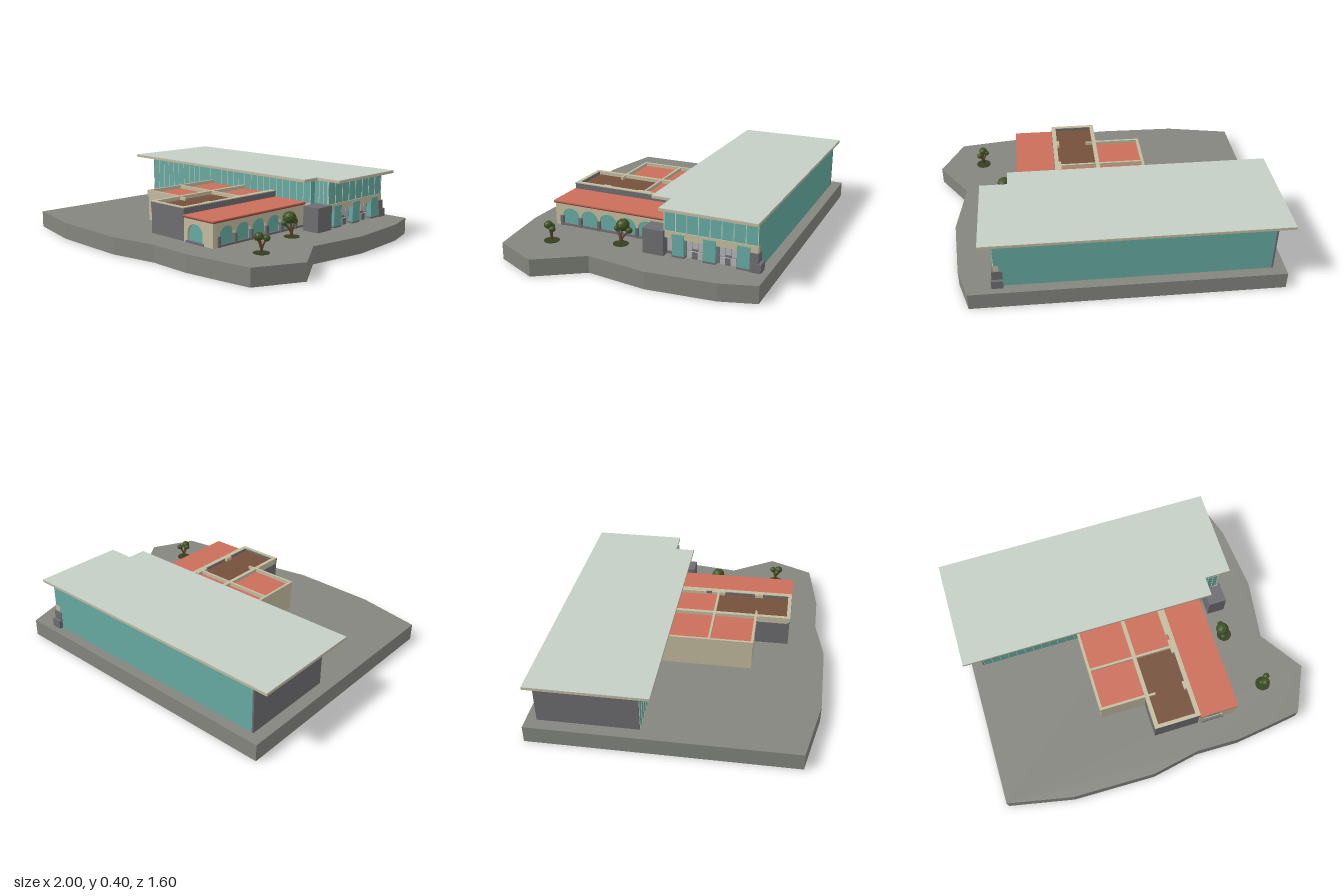
import * as THREE from 'three';

const mat = (color) => new THREE.MeshStandardMaterial({ color, flatShading: true });
const M = {
  ground: mat(0x84867e), teal: mat(0x66aba2), grey: mat(0x6e6e72), light: mat(0xb4b4b6), cream: mat(0xc4bc9f),
  pale: mat(0xc5cfc5), red: mat(0xcb6e5a), brown: mat(0x75503a), maroon: mat(0x8a4034),
  leaf: mat(0x3f5222), trunk: mat(0x5f4228), grass: mat(0x33401f),
};
const G = 0.1; // ground level

function add(parent, name, geometry, material) {
  const mesh = new THREE.Mesh(geometry, material);
  mesh.name = name;
  parent.add(mesh);
  return mesh;
}

// Box given by its limits on each axis
function box(parent, name, material, x0, x1, y0, y1, z0, z1) {
  const geo = new THREE.BoxGeometry(x1 - x0, y1 - y0, z1 - z0);
  geo.translate((x0 + x1) / 2, (y0 + y1) / 2, (z0 + z1) / 2);
  return add(parent, name, geo, material);
}

// Upright prism over an outline of [x, z] corners
function prism(parent, name, material, outline, y0, y1) {
  const shape = new THREE.Shape(outline.map(([x, z]) => new THREE.Vector2(x, -z)));
  const geo = new THREE.ExtrudeGeometry(shape, { depth: y1 - y0, bevelEnabled: false });
  geo.rotateX(-Math.PI / 2).translate(0, y0, 0);
  return add(parent, name, geo, material);
}

// Wall in the xy plane with round-headed openings
function archWall(x0, x1, y0, y1, centres, width, depth) {
  const wall = new THREE.Shape([[x0, y0], [x1, y0], [x1, y1], [x0, y1]].map((p) => new THREE.Vector2(...p)));
  const r = width / 2;
  for (const c of centres) {
    const hole = new THREE.Path();
    hole.moveTo(c - r, 0.11);
    hole.lineTo(c - r, 0.155);
    hole.absellipse(c, 0.155, r, 0.055, Math.PI, 0, true);
    hole.lineTo(c + r, 0.11);
    hole.closePath();
    wall.holes.push(hole);
  }
  return new THREE.ExtrudeGeometry(wall, { depth, bevelEnabled: false, curveSegments: 12 });
}

function buildHall() {
  const hall = new THREE.Group();
  hall.name = 'hall';
  prism(hall, 'hallWalls', M.teal,
    [[-0.9, -0.74], [0.61, -0.74], [0.61, -0.205], [0.535, -0.205], [0.535, -0.17], [-0.9, -0.17]], G, 0.38);
  box(hall, 'leftEndWall', M.grey, -0.91, -0.9, G, 0.38, -0.74, -0.17);
  box(hall, 'upperGlazing', M.teal, 0.6, 0.635, 0.245, 0.38, -0.74, -0.205);
  box(hall, 'band', M.cream, 0.6, 0.64, 0.205, 0.245, -0.74, -0.2);
  box(hall, 'entryWall', M.light, 0.49, 0.536, G, 0.24, -0.175, -0.165);
  box(hall, 'entryBand', M.cream, 0.26, 0.536, 0.235, 0.245, -0.175, -0.165);

  // Mullions on the front and on the right end
  for (let i = 0; i <= 27; i++) {
    const x = -0.9 + i * 0.053;
    box(hall, 'frontMullion', M.pale, x - 0.002, x + 0.002, G, 0.38, -0.172, -0.167);
  }
  for (const x of [0.57, 0.602, 0.633]) box(hall, 'returnMullion', M.pale, x - 0.002, x + 0.002, G, 0.38, -0.208, -0.202);
  for (let i = 0; i <= 8; i++) {
    const z = -0.207 - i * 0.0663;
    box(hall, 'endMullion', M.pale, 0.63, 0.637, 0.245, 0.38, z - 0.002, z + 0.002);
  }

  // Ground floor of the right end: piers with window bays between
  box(hall, 'bayWall', M.grey, 0.6, 0.613, G, 0.205, -0.74, -0.205);
  for (const z of [-0.29, -0.472, -0.662]) {
    box(hall, 'pier', M.teal, 0.6, 0.645, 0.105, 0.232, z - 0.035, z + 0.035);
    box(hall, 'pierFoot', M.grey, 0.6, 0.647, G, 0.11, z - 0.037, z + 0.037);
  }
  for (const z of [-0.38, -0.57]) {
    for (const s of [-1, 1]) box(hall, 'sidePane', M.light, 0.61, 0.617, 0.145, 0.205, z + s * 0.034 - 0.015, z + s * 0.034 + 0.015);
    box(hall, 'centrePane', M.light, 0.61, 0.617, 0.155, 0.205, z - 0.016, z + 0.016);
    box(hall, 'bayBase', M.light, 0.61, 0.622, G, 0.14, z - 0.045, z + 0.045);
    box(hall, 'bayDoor', M.grey, 0.61, 0.628, G, 0.14, z - 0.015, z + 0.015);
  }
  box(hall, 'cornerPane', M.light, 0.61, 0.617, 0.12, 0.2, -0.245, -0.215);

  // Service blocks at the two right corners
  box(hall, 'entryBlock', M.grey, 0.55, 0.66, G, 0.245, -0.21, -0.085);
  box(hall, 'rearBlockLow', M.grey, 0.59, 0.655, G, 0.15, -0.762, -0.7);
  box(hall, 'rearBlockHigh', M.grey, 0.59, 0.65, 0.15, 0.205, -0.745, -0.7);

  // Flat overhanging roof, notched at the front right
  const edge = [[-1, -0.76], [0.71, -0.76], [0.71, -0.208], [0.55, -0.208], [0.55, -0.09], [-1, -0.09]];
  prism(hall, 'roofSlab', M.cream, edge, 0.38, 0.394);
  prism(hall, 'roofSheet', M.pale, edge, 0.394, 0.397);
  return hall;
}

function buildWing() {
  const wing = new THREE.Group();
  wing.name = 'frontWing';
  // Low rooms
  box(wing, 'leftRoom', M.cream, -0.295, -0.015, G, 0.262, -0.17, 0.375);
  box(wing, 'middleRoom', M.grey, -0.018, 0.258, G, 0.262, -0.17, 0.578);
  const roofs = [[M.red, -0.285, -0.018, -0.17, 0.115], [M.red, -0.285, -0.018, 0.125, 0.365],
    [M.red, 0.002, 0.235, -0.17, 0.115], [M.brown, 0.002, 0.235, 0.125, 0.56]];
  for (const [m, x0, x1, z0, z1] of roofs) box(wing, 'roomRoof', m, x0, x1, 0.26, 0.268, z0, z1);

  // Parapets with cream copings
  const parapets = [[M.cream, -0.3, -0.285, -0.17, 0.38], [M.cream, -0.3, -0.02, 0.365, 0.38],
    [M.cream, -0.3, -0.02, 0.113, 0.127], [M.cream, -0.02, 0.003, -0.17, 0.58],
    [M.cream, 0, 0.24, 0.113, 0.127], [M.grey, -0.02, 0.26, 0.56, 0.582], [M.grey, 0.233, 0.26, -0.17, 0.58]];
  for (const [m, x0, x1, z0, z1] of parapets) {
    box(wing, 'parapet', m, x0, x1, 0.25, 0.284, z0, z1);
    box(wing, 'coping', M.cream, x0, x1, 0.284, 0.289, z0, z1);
  }
  box(wing, 'parapetStub', M.cream, 0, 0.045, 0.262, 0.286, 0.367, 0.38);
  for (const [z0, z1] of [[-0.17, 0.04], [0.075, 0.16], [0.35, 0.4]]) {
    box(wing, 'parapetThickening', M.cream, 0.219, 0.24, 0.262, 0.288, z0, z1);
  }

  // Arcade: arched walls over glass, under a red roof
  box(wing, 'arcadeGlass', M.teal, 0.26, 0.475, G, 0.235, -0.17, 0.565);
  add(wing, 'arcadeFront', archWall(0.26, 0.49, G, 0.238, [0.35], 0.12, 0.015), M.cream).position.z = 0.565;
  const arches = [0, 1, 2, 3, 4].map((i) => 0.475 - i * 0.125);
  const side = archWall(-0.58, 0.17, G, 0.238, arches.map((z) => -z), 0.114, 0.015);
  side.rotateY(Math.PI / 2).translate(0.475, 0, 0);
  add(wing, 'arcadeSide', side, M.cream);
  for (let i = 0; i <= 5; i++) {
    const z = 0.5375 - i * 0.125;
    box(wing, 'arcadePierBase', M.grey, 0.48, 0.498, G, 0.16, z - 0.009, z + 0.009);
  }
  box(wing, 'arcadeSill', M.grey, 0.48, 0.494, G, 0.112, -0.17, 0.545);
  box(wing, 'frontSill', M.grey, 0.28, 0.42, G, 0.112, 0.57, 0.586);
  box(wing, 'arcadeEaves', M.maroon, 0.26, 0.498, 0.236, 0.243, -0.17, 0.585);
  box(wing, 'arcadeRoof', M.red, 0.26, 0.5, 0.243, 0.25, -0.17, 0.586);
  return wing;
}

// Small tree: leaning trunk, faceted crowns, grass disc
function buildTree(x, z, crowns) {
  const tree = new THREE.Group();
  tree.name = 'tree';
  tree.position.set(x, G, z);
  add(tree, 'grassDisc', new THREE.CylinderGeometry(0.045, 0.045, 0.003, 20), M.grass).position.y = 0.002;
  for (const [cx, cy, cz, r] of crowns) {
    const path = new THREE.CatmullRomCurve3([new THREE.Vector3(0, 0, 0),
      new THREE.Vector3(cx * 0.2, cy * 0.45, cz * 0.2), new THREE.Vector3(cx, cy, cz)]);
    add(tree, 'trunk', new THREE.TubeGeometry(path, 5, 0.006, 6), M.trunk);
    const crown = add(tree, 'crown', new THREE.IcosahedronGeometry(r, 1), M.leaf);
    crown.position.set(cx, cy, cz);
    crown.scale.y = 0.9;
  }
  return tree;
}

export function createModel() {
  const model = new THREE.Group();
  model.name = 'building';
  prism(model, 'groundSlab', M.ground, [[-0.98, -0.8], [0.785, -0.8], [0.845, -0.6], [0.877, -0.205], [0.825, 0.16],
    [1, 0.425], [0.87, 0.695], [0.695, 0.72], [0.465, 0.75], [0.2, 0.745], [-0.09, 0.8], [-0.59, 0.79], [-0.98, 0.71]], 0, G);
  model.add(buildHall(), buildWing());
  model.add(buildTree(0.605, 0.08, [[-0.022, 0.107, -0.004, 0.04], [-0.018, 0.082, -0.045, 0.02], [-0.025, 0.08, 0.035, 0.018]]));
  model.add(buildTree(0.725, 0.46, [[-0.002, 0.092, 0.018, 0.026], [0.018, 0.08, -0.02, 0.02], [-0.022, 0.08, 0.01, 0.018]]));
  return model;
}
